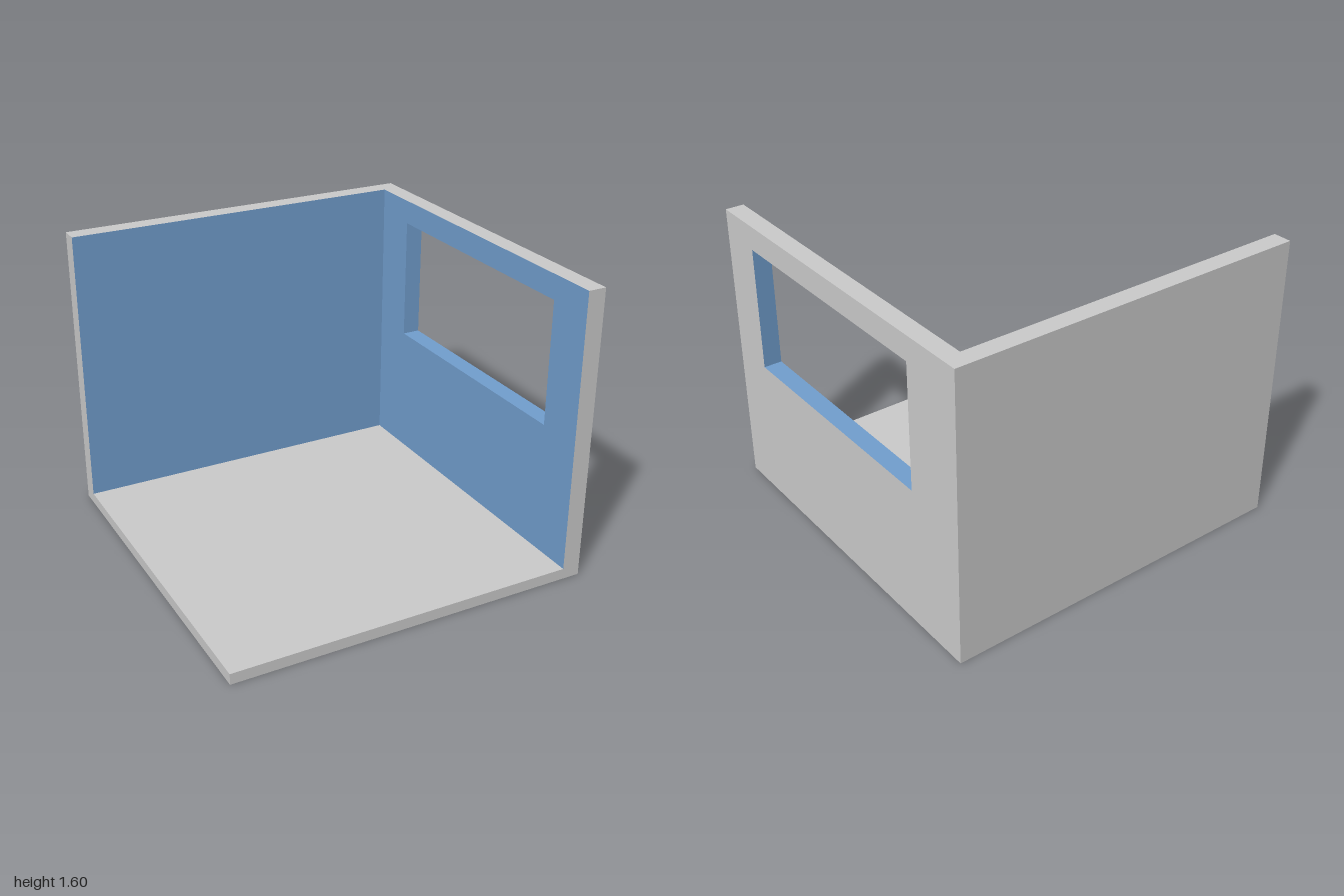
import * as THREE from 'three';

const HEIGHT = 1.6, WALL = 0.1, FLOOR = 0.06;
const INNER_X = 1 - WALL, INNER_Z = -1 + WALL;

// Box given by its two opposite corners
function boxBetween(name, min, max, material) {
  const size = max.map((v, i) => v - min[i]);
  const mesh = new THREE.Mesh(new THREE.BoxGeometry(...size), material);
  mesh.position.set(...min.map((v, i) => (v + max[i]) / 2));
  mesh.name = name;
  return mesh;
}

// Rectangle as a closed list of points
function rectangle(x0, y0, x1, y1) {
  return [[x0, y0], [x1, y0], [x1, y1], [x0, y1]].map(p => new THREE.Vector2(...p));
}

// Wall with a window opening: outer skin and rim use group 0, inner face and window reveal group 1
function windowWallGeometry() {
  const shape = new THREE.Shape(rectangle(-1, 0, 1, HEIGHT));
  shape.holes.push(new THREE.Path(rectangle(-0.745, 0.785, 0.64, 1.468).reverse()));
  const geometry = new THREE.ExtrudeGeometry(shape, { depth: WALL, bevelEnabled: false });
  geometry.rotateY(Math.PI / 2).translate(INNER_X, 0, 0);

  const p = geometry.attributes.position;
  geometry.clearGroups();
  for (let i = 0; i < p.count; i += 3) {
    const x = (p.getX(i) + p.getX(i + 1) + p.getX(i + 2)) / 3;
    const y = (p.getY(i) + p.getY(i + 1) + p.getY(i + 2)) / 3;
    const z = (p.getZ(i) + p.getZ(i + 1) + p.getZ(i + 2)) / 3;
    const outside = x > 0.999 || y < 0.001 || y > HEIGHT - 0.001 || Math.abs(z) > 0.999;
    geometry.addGroup(i, 3, outside ? 0 : 1);
  }
  return geometry;
}

export function createModel() {
  const grey = new THREE.MeshStandardMaterial({ color: 0xcccccc });
  grey.name = 'light grey';
  const blue = new THREE.MeshStandardMaterial({ color: 0x729fcf });
  blue.name = 'sky blue';

  const model = new THREE.Group();
  model.name = 'roomCorner';

  // Floor slab between the walls
  model.add(boxBetween('floor', [-1, 0, INNER_Z], [INNER_X, FLOOR, 1], grey));

  // Back wall, blue only on the room side
  model.add(boxBetween('backWall', [-1, 0, -1], [INNER_X, HEIGHT, INNER_Z],
    [grey, grey, grey, grey, blue, grey]));

  // Side wall with the window opening
  const sideWall = new THREE.Mesh(windowWallGeometry(), [grey, blue]);
  sideWall.name = 'windowWall';
  model.add(sideWall);

  return model;
}
